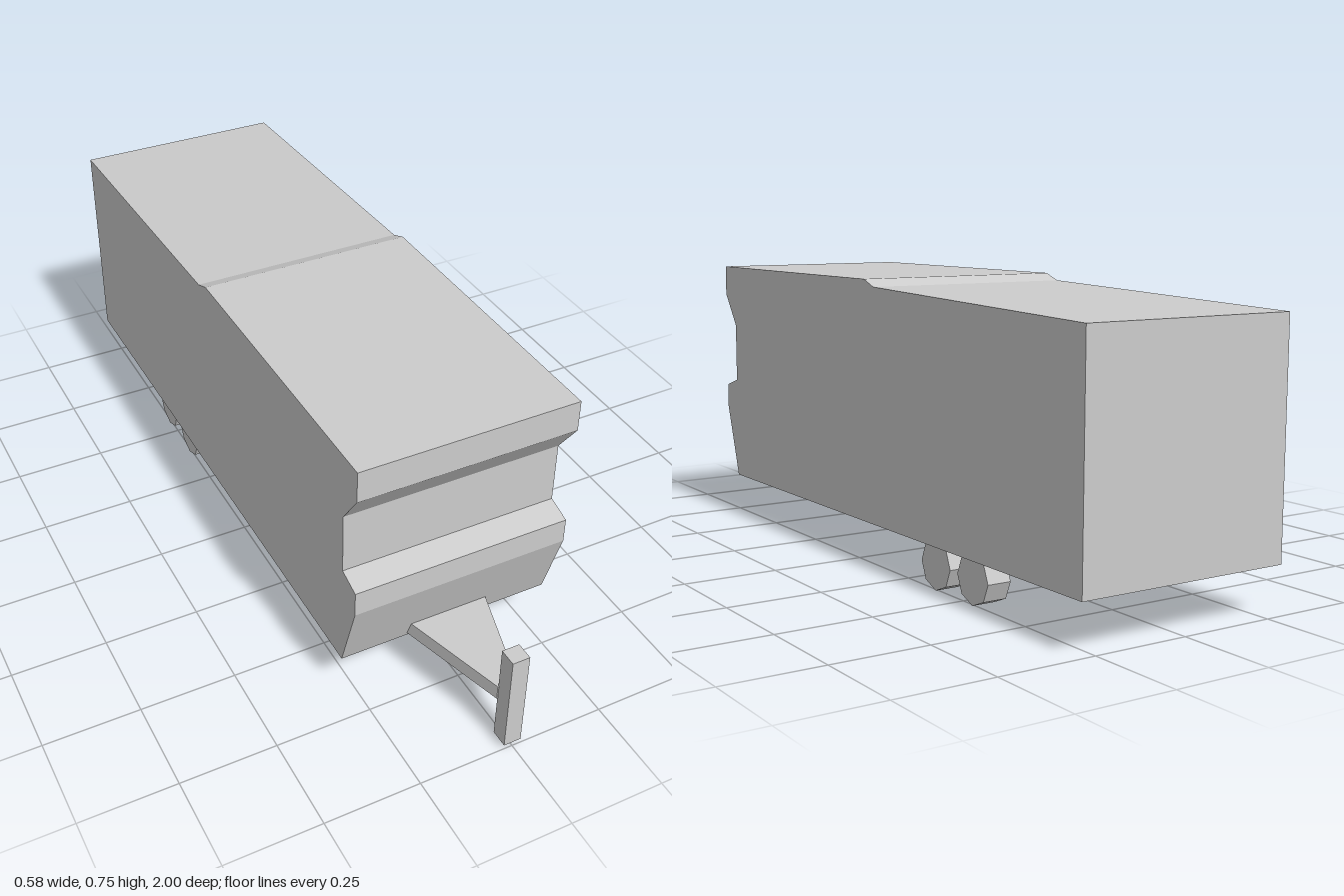
import * as THREE from 'three';

const material = new THREE.MeshStandardMaterial({ color: 0xcccccc, flatShading: true });

function addMesh(group, name, geometry, x = 0, y = 0, z = 0) {
  const mesh = new THREE.Mesh(geometry, material);
  mesh.name = name;
  mesh.position.set(x, y, z);
  group.add(mesh);
}

// Extrude a flat outline by depth, without bevels
function extrude(points, depth) {
  const shape = new THREE.Shape(points.map(([a, b]) => new THREE.Vector2(a, b)));
  return new THREE.ExtrudeGeometry(shape, { depth, bevelEnabled: false });
}

export function createModel() {
  const trailer = new THREE.Group();
  trailer.name = 'trailer';

  // Body: side profile as (-z, y), extruded across the width
  const width = 0.576;
  const profile = [
    [1, 0.122], [1, 0.7], [0.147, 0.73], [0.1, 0.748],
    [-0.736, 0.748], [-0.736, 0.665], [-0.672, 0.575], [-0.672, 0.411],
    [-0.736, 0.391], [-0.736, 0.324], [-0.672, 0.122],
  ];
  const body = extrude(profile, width);
  body.translate(0, 0, -width / 2);
  body.rotateY(Math.PI / 2);
  addMesh(trailer, 'body', body);

  // Tapered drawbar: plan outline as (x, -z), extruded upwards
  const drawbar = extrude([[-0.111, -0.67], [-0.026, -0.956], [0.026, -0.956], [0.111, -0.67]], 0.04);
  drawbar.rotateX(-Math.PI / 2);
  addMesh(trailer, 'drawbar', drawbar, 0, 0.132, 0);

  // Jockey post at the tip of the drawbar
  addMesh(trailer, 'jockeyPost', new THREE.BoxGeometry(0.046, 0.276, 0.046), 0, 0.15, 0.977);

  // Two axles of eight-sided wheels
  const radius = 0.0645;
  const wheel = new THREE.CylinderGeometry(radius, radius, 0.064, 8);
  wheel.rotateZ(Math.PI / 2);
  for (const [end, z] of [['front', -0.388], ['rear', -0.548]]) {
    for (const [side, sign] of [['Left', 1], ['Right', -1]]) {
      addMesh(trailer, `${end}${side}Wheel`, wheel, sign * 0.2245, radius, z);
    }
  }
  return trailer;
}
